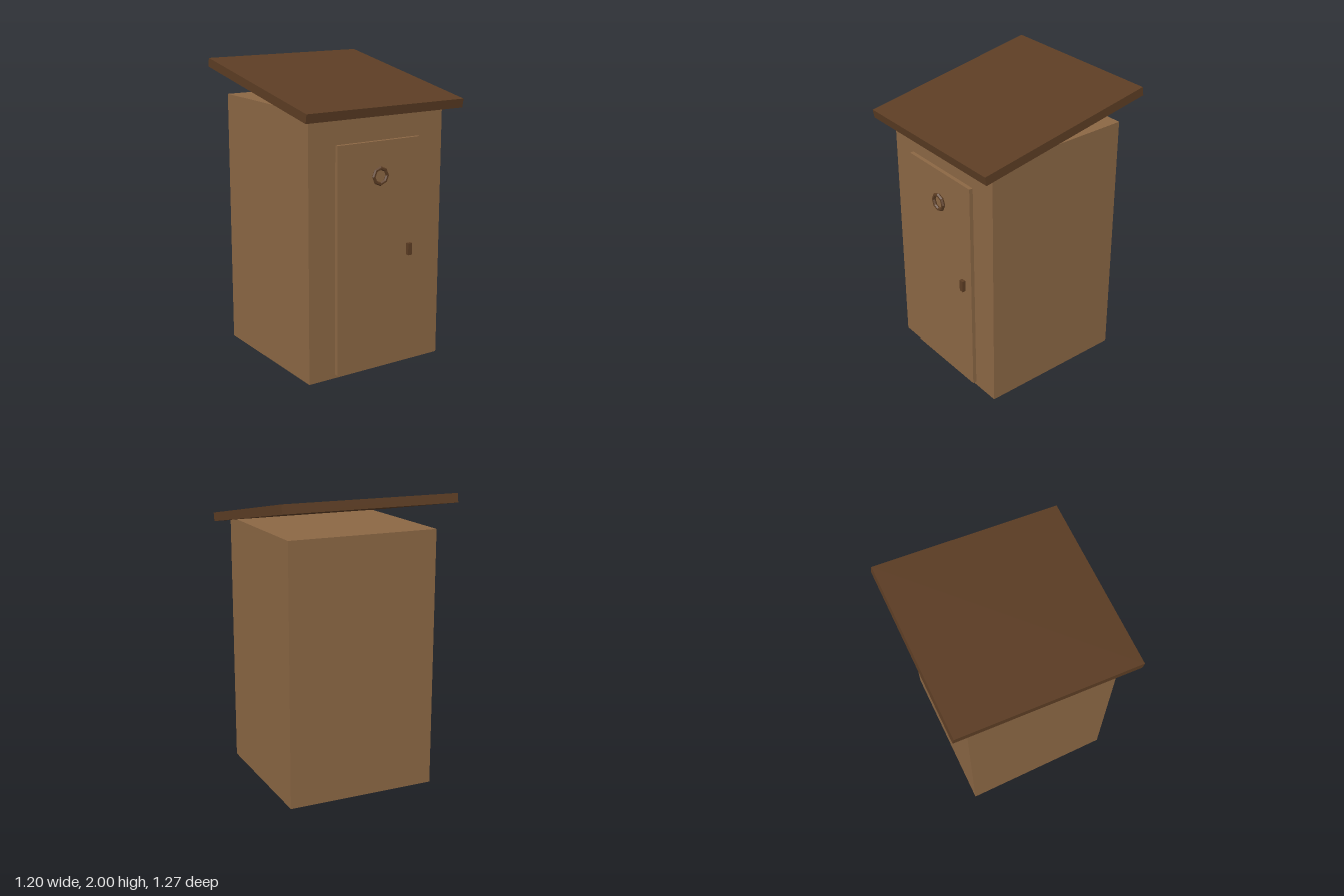
import * as THREE from 'three';

export function createModel() {
  const group = new THREE.Group();

  const wood = new THREE.MeshStandardMaterial({ color: 0x8b6744, flatShading: true });
  wood.name = 'wood';
  const darkWood = new THREE.MeshStandardMaterial({ color: 0x5c3d24, flatShading: true });
  darkWood.name = 'dark wood';

  const add = (name, geometry, material, x, y, z) => {
    const mesh = new THREE.Mesh(geometry, material);
    mesh.name = name;
    mesh.position.set(x, y, z);
    group.add(mesh);
    return mesh;
  };
  const box = (w, h, d) => new THREE.BoxGeometry(w, h, d);

  // Square cabin with a flat top
  add('cabin', box(1.035, 1.76, 1.035), wood, 0, 0.88, 0);

  // Slab roof, sloping down to the front
  const roof = add('roof', box(1.2, 0.06, 1.28), darkWood, 0, 1.859, 0);
  roof.rotation.x = THREE.MathUtils.degToRad(10);

  // Door panel with a ring and a handle
  add('door', box(0.64, 1.52, 0.04), wood, 0, 0.785, 0.524);
  add('doorRing', new THREE.TorusGeometry(0.052, 0.0125, 6, 8), darkWood, 0, 1.32, 0.555);
  add('doorHandle', box(0.032, 0.08, 0.032), darkWood, 0.24, 0.80, 0.551);

  return group;
}
